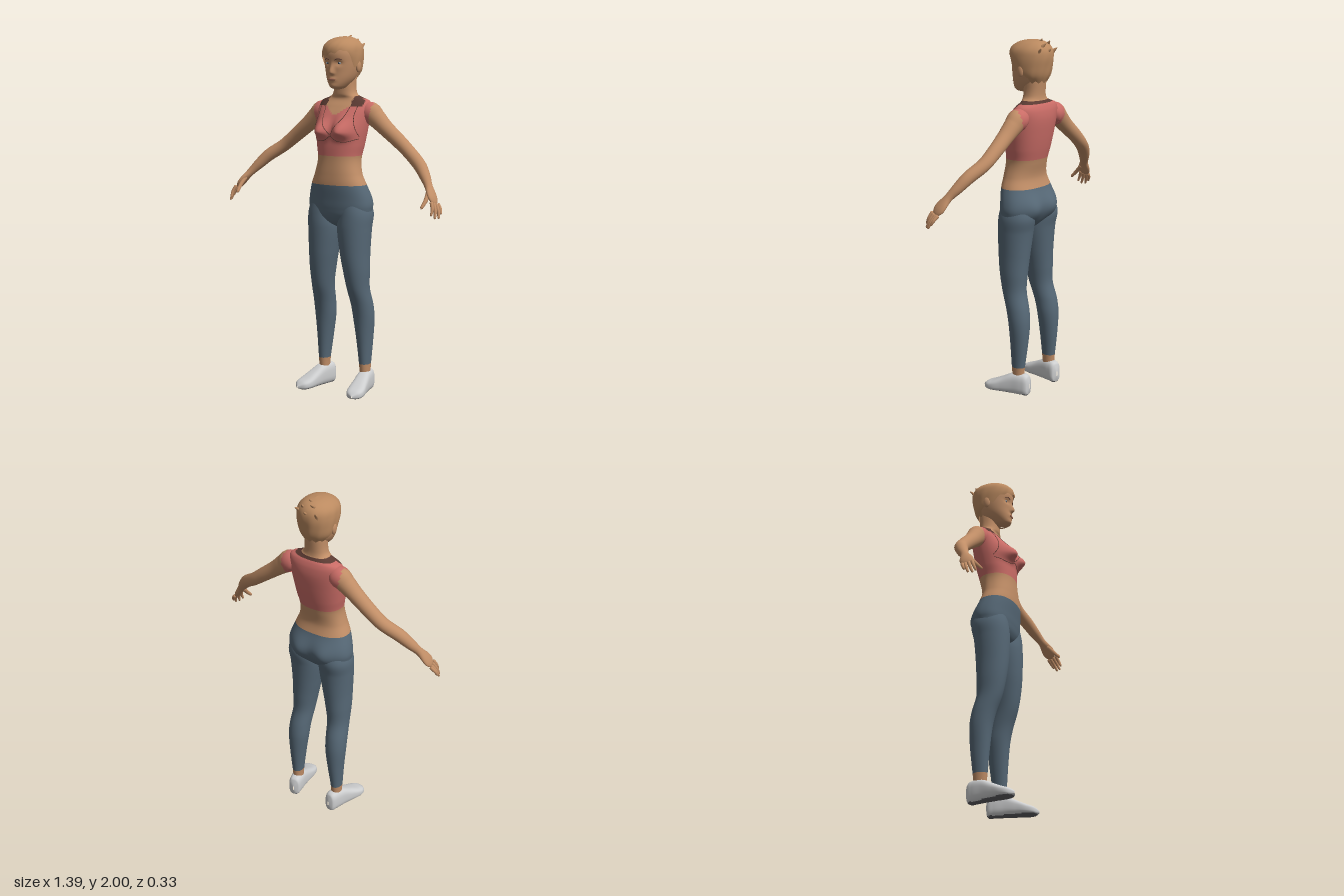
import * as THREE from 'three';

const mat = (name, color, side = THREE.FrontSide) => {
  const m = new THREE.MeshStandardMaterial({ color, side });
  m.name = name;
  return m;
};
const V = (x, y, z) => new THREE.Vector3(x, y, z);
const gauss = (d, s) => Math.exp(-(d * d) / (s * s));
const sup = (c, n) => Math.sign(c) * Math.abs(c) ** (2 / n);

// Smooth interpolation through keys of the form [t, a, b, c...]
function track(keys) {
  const slope = (i, k) => {
    const a = keys[Math.max(0, i - 1)], b = keys[Math.min(keys.length - 1, i + 1)];
    return (b[k] - a[k]) / (b[0] - a[0]);
  };
  return t => {
    let i = 0;
    while (i < keys.length - 2 && t > keys[i + 1][0]) i++;
    const p = keys[i], q = keys[i + 1], h = q[0] - p[0];
    const s = Math.min(1, Math.max(0, (t - p[0]) / h)), r = 1 - s;
    return p.slice(1).map((_, j) => {
      const k = j + 1;
      return p[k] * (1 + 2 * s) * r * r + q[k] * s * s * (3 - 2 * s)
        + h * (slope(i, k) * s * r * r - slope(i + 1, k) * s * s * r);
    });
  };
}

// Grid closed around u; pick(point) chooses the material of each face
function surface(name, nu, nv, fn, mats, pick = () => 0) {
  const pos = [], pts = [], lists = mats.map(() => []);
  for (let j = 0; j <= nv; j++) for (let i = 0; i < nu; i++) {
    const p = fn((i / nu) * Math.PI * 2, j / nv);
    pts.push(p);
    pos.push(p.x, p.y, p.z);
  }
  for (let j = 0; j < nv; j++) for (let i = 0; i < nu; i++) {
    const a = j * nu + i, b = j * nu + (i + 1) % nu, c = a + nu, d = b + nu;
    const mid = V(0, 0, 0).add(pts[a]).add(pts[b]).add(pts[c]).add(pts[d]).multiplyScalar(0.25);
    lists[pick(mid)].push(a, c, d, a, d, b);
  }
  const g = new THREE.BufferGeometry();
  g.setAttribute('position', new THREE.Float32BufferAttribute(pos, 3));
  g.setIndex(lists.flat());
  let start = 0;
  lists.forEach((l, k) => { g.addGroup(start, l.length, k); start += l.length; });
  g.computeVertexNormals();
  const mesh = new THREE.Mesh(g, mats.length > 1 ? mats : mats[0]);
  mesh.name = name;
  return mesh;
}

// Upright form from keys [y, halfWidth, zFront, zBack] with a z bump rule
function form(keys, n, bump = () => 0) {
  const f = track(keys);
  const at = (a, y) => {
    const [hw, zf, zb] = f(y), s = Math.sin(a), x = hw * sup(Math.cos(a), n);
    return V(x, y, (zf + zb) / 2 + (zf - zb) / 2 * sup(s, n) + bump(x, y, s));
  };
  const front = (x, y) => {
    const c = Math.min(1, Math.abs(x) / f(y)[0]) ** (n / 2);
    return at(Math.acos(Math.sign(x) * c), y);
  };
  return { at, front };
}

// Limb along keys [x, y, z, radiusAcross, radiusDepth] with rounded ends
function limb(name, keys, mats, pick, nu = 20, nv = 40) {
  const last = keys.length - 1, f = track(keys.map((k, i) => [i, ...k]));
  return surface(name, nu, nv, (a, v) => {
    const t = v * last, k = f(t), p0 = f(Math.max(0, t - 0.02)), p1 = f(Math.min(last, t + 0.02));
    const T = V(p1[0] - p0[0], p1[1] - p0[1], p1[2] - p0[2]).normalize();
    const B = V(0, 0, 1).addScaledVector(T, -T.z).normalize(), N = T.clone().cross(B);
    const end = Math.max(0, Math.abs(v - 0.5) * 2 - 0.85) / 0.15, cap = Math.sqrt(Math.max(0, 1 - end * end));
    return V(k[0], k[1], k[2]).addScaledVector(N, k[3] * cap * Math.cos(a)).addScaledVector(B, k[4] * cap * Math.sin(a));
  }, mats, pick);
}

function mirrored(mesh) {
  const g = mesh.geometry.clone().scale(-1, 1, 1), ix = g.index.array;
  for (let i = 0; i < ix.length; i += 3) [ix[i + 1], ix[i + 2]] = [ix[i + 2], ix[i + 1]];
  const m = new THREE.Mesh(g, mesh.material);
  m.name = mesh.name.replace('left', 'right');
  return m;
}

export function createModel() {
  const model = new THREE.Group();
  model.name = 'woman';
  const skin = mat('skin', 0xc08d66), coral = mat('coral top', 0xc96c66), blue = mat('leggings blue', 0x566876);
  const hairMat = mat('hair', 0xbb8a60, THREE.DoubleSide), white = mat('shoe white', 0xcdcecf), sole = mat('sole grey', 0x606064);
  const dark = mat('dark seam', 0x5a3a32), eyeWhite = mat('eye white', 0xb4bac0), iris = mat('iris', 0x33404c), lip = mat('lips', 0xa86f58);
  const add = m => (model.add(m), m);
  const pair = m => { add(m); add(mirrored(m)); };

  // Torso, hips and neck
  const torso = form([
    [0.93, 0.005, 0, -0.02], [0.96, 0.07, 0.06, -0.06], [1.0, 0.17, 0.088, -0.095], [1.05, 0.193, 0.098, -0.12],
    [1.1, 0.19, 0.102, -0.122], [1.18, 0.165, 0.108, -0.093], [1.24, 0.14, 0.105, -0.08], [1.32, 0.125, 0.098, -0.095],
    [1.4, 0.138, 0.095, -0.115], [1.48, 0.15, 0.085, -0.13], [1.56, 0.158, 0.058, -0.14], [1.61, 0.16, 0.024, -0.137],
    [1.64, 0.145, 0, -0.127], [1.655, 0.105, -0.005, -0.117], [1.67, 0.075, 0, -0.11], [1.7, 0.063, 0, -0.108], [1.77, 0.06, 0, -0.115],
  ], 2.3, (x, y, s) => {
    if (s > 0) return 0.06 * gauss(Math.abs(x) - 0.066, 0.05) * gauss(y - 1.475, y < 1.475 ? 0.036 : 0.06) * Math.min(1, s * 1.6);
    return -0.02 * gauss(Math.abs(x) - 0.08, 0.055) * gauss(y - 1.06, 0.07) * Math.min(1, -s * 1.6);
  });
  add(surface('torso', 80, 168, (a, v) => torso.at(a, 0.93 + 0.84 * v), [skin, coral, blue, dark], p => {
    const x = Math.abs(p.x);
    if (p.y < 1.18) return 2;
    if (p.y < 1.34) return 0;
    if (p.z > -0.045) {
      if (p.y > 1.612 && x > 0.078 && x < 0.14) return 3;
      return p.y > 1.56 + 0.7 * x ? 0 : 1;
    }
    return p.y > 1.665 ? 0 : p.y > 1.65 ? 3 : 1;
  }));

  // Seams of the top
  const seam = (name, pts) => {
    const c = new THREE.CatmullRomCurve3(pts.map(([x, y]) => V(x, y, 0)));
    const path = new THREE.CatmullRomCurve3(c.getPoints(30).map(p => torso.front(p.x, p.y)));
    const m = new THREE.Mesh(new THREE.TubeGeometry(path, 50, 0.0018, 5), dark);
    m.name = name;
    pair(m);
  };
  seam('left underbust seam', [[0.002, 1.45], [0.04, 1.425], [0.09, 1.42], [0.137, 1.435]]);
  seam('left neckline seam', [[0.002, 1.455], [0.035, 1.5], [0.065, 1.55], [0.08, 1.61]]);
  seam('left armhole seam', [[0.14, 1.45], [0.125, 1.51], [0.115, 1.56], [0.118, 1.61]]);

  // Legs with bare ankles
  const leg = track([
    [0.07, 0.137, 0.026, -0.018, -0.082], [0.16, 0.137, 0.031, -0.01, -0.09], [0.3, 0.133, 0.045, 0, -0.106],
    [0.42, 0.129, 0.058, 0.012, -0.112], [0.5, 0.126, 0.06, 0.03, -0.103], [0.6, 0.118, 0.061, 0.064, -0.078],
    [0.7, 0.112, 0.071, 0.084, -0.08], [0.8, 0.104, 0.081, 0.095, -0.086], [0.94, 0.097, 0.095, 0.099, -0.1],
    [1.02, 0.1, 0.094, 0.093, -0.115], [1.1, 0.09, 0.08, 0.08, -0.1],
  ]);
  pair(surface('left leg', 40, 103, (a, v) => {
    const y = 0.07 + 1.03 * v, [cx, hw, zf, zb] = leg(y);
    return V(cx + hw * sup(Math.cos(a), 2.1), y, (zf + zb) / 2 + (zf - zb) / 2 * sup(Math.sin(a), 2.1));
  }, [skin, blue], p => (p.y < 0.16 ? 0 : 1)));

  // Shoes, toes turned outward
  const last = track([
    [-0.125, 0.003, 0.07, 0.04], [-0.118, 0.028, 0.11, 0.005], [-0.08, 0.038, 0.125, 0], [-0.02, 0.041, 0.118, 0],
    [0.04, 0.046, 0.09, 0], [0.1, 0.05, 0.062, 0], [0.14, 0.038, 0.046, 0.003], [0.165, 0.003, 0.025, 0.014],
  ]);
  const shoe = surface('left shoe', 36, 48, (a, v) => {
    const z = -0.125 + 0.29 * v, [hw, top, low] = last(z);
    return V(hw * sup(Math.cos(a), 2.8), (top + low) / 2 - (top - low) / 2 * sup(Math.sin(a), 2.8), z);
  }, [white, sole], p => (p.y < 0.008 ? 1 : 0));
  shoe.geometry.rotateY(0.2).translate(0.15, 0, 0);
  pair(shoe);

  // Arms with short sleeves, running into the palms
  pair(limb('left arm', [
    [0.1, 1.56, -0.065, 0.05, 0.05], [0.155, 1.572, -0.067, 0.062, 0.057], [0.2, 1.542, -0.065, 0.053, 0.05],
    [0.26, 1.492, -0.062, 0.044, 0.044], [0.35, 1.422, -0.06, 0.039, 0.04], [0.42, 1.367, -0.05, 0.036, 0.038],
    [0.5, 1.31, -0.015, 0.035, 0.036], [0.55, 1.258, 0.015, 0.029, 0.031], [0.59, 1.21, 0.045, 0.021, 0.024],
    [0.622, 1.168, 0.067, 0.017, 0.036], [0.652, 1.12, 0.087, 0.012, 0.037],
  ], [skin, coral], p => (p.x < 0.185 - Math.max(0, 1.57 - p.y) * 0.3 ? 1 : 0), 28, 90));
  const fingers = [
    ['index', [0.644, 1.138, 0.109], [0.66, 1.065, 0.14]], ['middle', [0.648, 1.132, 0.092], [0.676, 1.049, 0.128]],
    ['ring', [0.652, 1.127, 0.075], [0.688, 1.049, 0.107]], ['little', [0.655, 1.124, 0.06], [0.688, 1.07, 0.085]],
    ['thumb', [0.604, 1.185, 0.07], [0.606, 1.1, 0.152]],
  ];
  for (const [name, b, t] of fingers) {
    const mid = b.map((c, k) => (c + t[k]) / 2 + (k === 0 ? 0.007 : 0));
    const r = name === 'thumb' ? 0.012 : 0.0095;
    pair(limb(`left ${name} finger`, [[...b, r, r], [...mid, r * 0.95, r * 0.95], [...t, r * 0.6, r * 0.6]], [skin], undefined, 10, 16));
  }

  // Head with brow, nose, lips and eye sockets
  const head = form([
    [1.7, 0.004, 0.03, 0.01], [1.708, 0.03, 0.06, -0.03], [1.725, 0.048, 0.073, -0.06], [1.76, 0.07, 0.076, -0.1],
    [1.8, 0.083, 0.076, -0.12], [1.85, 0.091, 0.08, -0.135], [1.9, 0.093, 0.083, -0.14], [1.94, 0.082, 0.066, -0.13],
    [1.965, 0.055, 0.03, -0.11], [1.975, 0.004, -0.04, -0.05],
  ], 2.2, (x, y, s) => (s < 0 ? 0 : Math.min(1, s * 1.5) * (
    0.024 * gauss(x, 0.013) * gauss(y - 1.795, y < 1.795 ? 0.011 : 0.034)
    + 0.007 * gauss(x, 0.024) * gauss(y - 1.757, 0.013) + 0.005 * gauss(x, 0.025) * gauss(y - 1.72, 0.015)
    - 0.01 * gauss(Math.abs(x) - 0.036, 0.02) * gauss(y - 1.845, 0.015))));
  add(surface('head', 96, 96, (a, v) => head.at(a, 1.7 + 0.1375 * (1 - Math.cos(Math.PI * v))), [skin]));

  const blob = (name, p, r, m) => {
    const b = new THREE.Mesh(new THREE.SphereGeometry(1, 20, 14).scale(...r).translate(p.x, p.y, p.z), m);
    b.name = name;
    return b;
  };
  pair(blob('left eye', head.front(0.036, 1.845), [0.013, 0.006, 0.003], eyeWhite));
  pair(blob('left iris', head.front(0.036, 1.845).add(V(0, 0, 0.001)), [0.0055, 0.0055, 0.0035], iris));
  pair(blob('left ear', V(0.098, 1.828, -0.035), [0.012, 0.034, 0.02], skin));
  add(blob('lips', head.front(0, 1.757).add(V(0, 0, -0.003)), [0.024, 0.007, 0.005], lip));
  const browPath = new THREE.CatmullRomCurve3([[0.017, 1.862], [0.036, 1.869], [0.056, 1.863]].map(([x, y]) => head.front(x, y)));
  const brow = new THREE.Mesh(new THREE.TubeGeometry(browPath, 12, 0.0025, 6), dark);
  brow.name = 'left eyebrow';
  pair(brow);

  // Short hair with a swept fringe and loose tufts
  const hair = form([
    [1.76, 0.07, 0.05, -0.118], [1.8, 0.095, 0.06, -0.138], [1.85, 0.105, 0.08, -0.15], [1.9, 0.107, 0.095, -0.158],
    [1.94, 0.098, 0.086, -0.153], [1.97, 0.07, 0.05, -0.13], [1.985, 0.036, 0, -0.095], [1.99, 0.001, -0.045, -0.055],
  ], 2.1);
  add(surface('hair', 96, 40, (a, v) => {
    const s = Math.sin(a), f = THREE.MathUtils.smoothstep(s, 0.3, 0.75), b = THREE.MathUtils.smoothstep(-s, -0.1, 0.6);
    const low = 1.825 - 0.06 * b + f * (0.072 + 0.03 * Math.cos(a)) + 0.006 * Math.sin(13 * a);
    const p = hair.at(a, low + (1.99 - low) * Math.sin(v * Math.PI / 2));
    const k = 1 + 0.012 * Math.sin(11 * a + 9 * v) * (1 - v);
    return V(p.x * k, p.y, -0.035 + (p.z + 0.035) * k);
  }, [hairMat]));
  const tufts = [[-0.03, 1.965, -0.12, 0.2], [0.03, 1.955, -0.13, -0.2], [0, 1.975, -0.09, 0.1], [0.055, 1.93, -0.13, 0.3], [-0.055, 1.925, -0.135, -0.3], [0, 1.925, -0.145, 0]];
  for (const [x, y, z, lean] of tufts) {
    const top = [x + lean * 0.04, y + 0.022, z - 0.022];
    add(limb('hair tuft', [[x, y - 0.03, z + 0.01, 0.012, 0.01], [x, y, z, 0.013, 0.009], [...top, 0.002, 0.002]], [hairMat], undefined, 8, 10));
  }
  return model;
}
